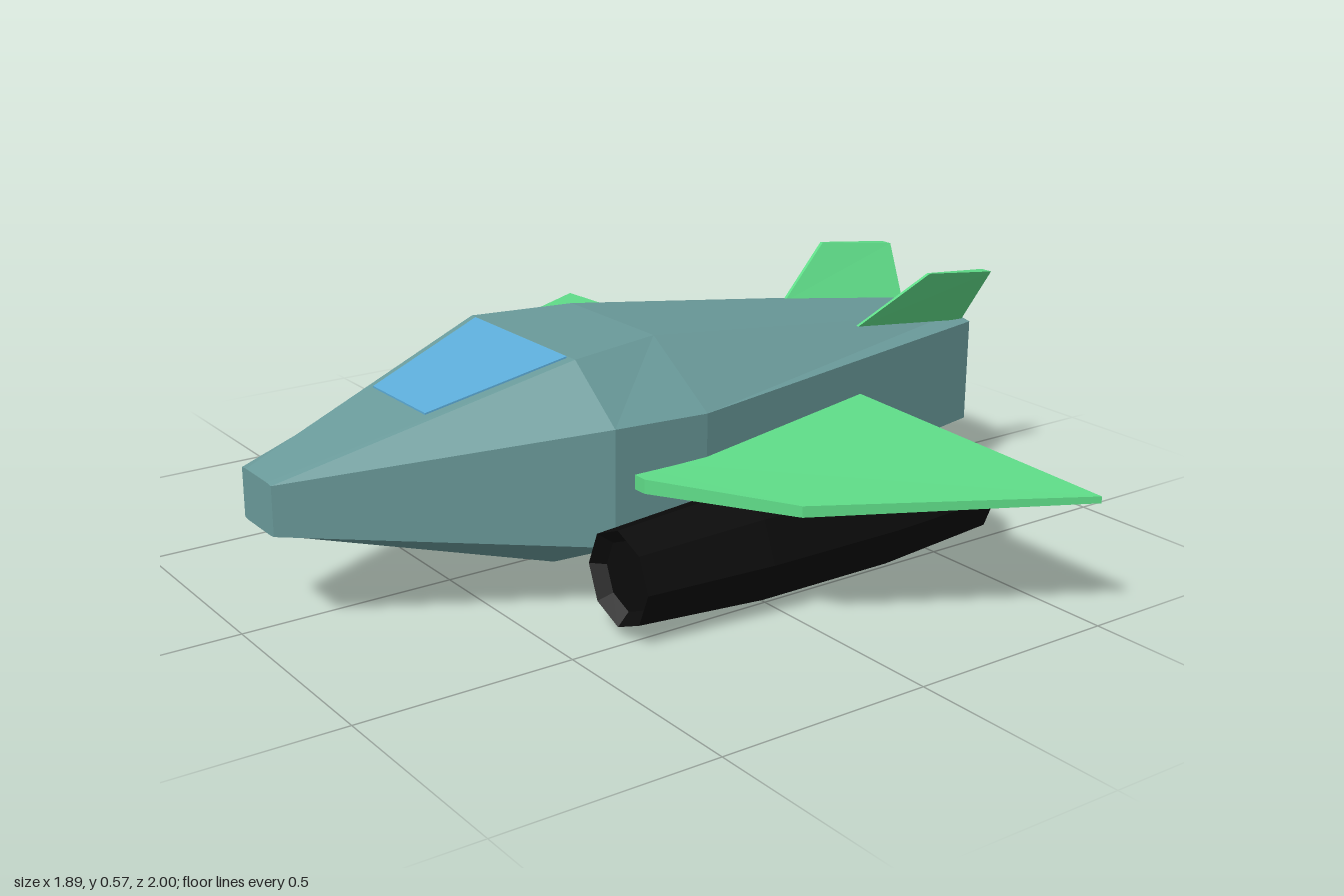
import * as THREE from 'three';

const mat = (name, color) => {
  const m = new THREE.MeshStandardMaterial({ color });
  m.name = name;
  return m;
};

// Faceted loft through rings of [x, y, z], closed at both ends.
// Rings run counter-clockwise about the loft direction; side = -1 mirrors in z.
function loft(rings, side = 1) {
  const pos = [];
  const tri = (a, b, c) => {
    for (const p of side > 0 ? [a, b, c] : [a, c, b]) pos.push(p[0], p[1], p[2] * side);
  };
  const n = rings[0].length;
  for (let i = 0; i < rings.length - 1; i++) {
    const a = rings[i], b = rings[i + 1];
    for (let k = 0; k < n; k++) {
      const m = (k + 1) % n;
      tri(a[k], a[m], b[k]);
      tri(a[m], b[m], b[k]);
    }
  }
  const first = rings[0], last = rings[rings.length - 1];
  for (let k = 1; k < n - 1; k++) {
    tri(first[0], first[k + 1], first[k]);
    tri(last[0], last[k], last[k + 1]);
  }
  const g = new THREE.BufferGeometry();
  g.setAttribute('position', new THREE.Float32BufferAttribute(pos, 3));
  g.computeVertexNormals();
  return g;
}

export function createModel() {
  const model = new THREE.Group();
  const hullMat = mat('hull teal', 0x6a9a9a);
  const finMat = mat('wing green', 0x5fdc88);
  const glassMat = mat('canopy blue', 0x5cacd8);
  const engineMat = mat('engine black', 0x0b0b0b);

  const add = (name, geometry, material) => {
    const mesh = new THREE.Mesh(geometry, material);
    mesh.name = name;
    model.add(mesh);
    return mesh;
  };

  // Hull: eight-sided sections from nose (-x) to tail (+x)
  // x, roof y, roof half width, shoulder y, half width, chine y, keel y, keel half width
  const sections = [
    [-0.945, 0.345, 0.05, 0.343, 0.07, 0.232, 0.23, 0.05],
    [-0.3, 0.535, 0.215, 0.42, 0.365, 0.155, 0.04, 0.12],
    [-0.06, 0.538, 0.165, 0.41, 0.365, 0.155, 0.037, 0.12],
    [0.92, 0.418, 0.095, 0.41, 0.155, 0.156, 0.154, 0.1],
    [0.945, 0.416, 0.05, 0.41, 0.065, 0.157, 0.155, 0.05],
  ];
  const hullRings = sections.map(([x, ry, rw, sy, w, cy, ky, kw]) => [
    [x, ry, -rw], [x, ry, rw], [x, sy, w], [x, cy, w],
    [x, ky, kw], [x, ky, -kw], [x, cy, -w], [x, sy, -w],
  ]);
  add('hull', loft(hullRings), hullMat);

  // Canopy: thin plate lying on the sloping nose deck
  const pane = (dy) => [
    [-0.61, 0.4437 + dy, -0.115], [-0.61, 0.4437 + dy, 0.115],
    [-0.305, 0.5335 + dy, 0.19], [-0.305, 0.5335 + dy, -0.19],
  ];
  add('canopy', loft([pane(-0.004), pane(0.004)]), glassMat);

  // Wing corners: x, z, lower y, upper y
  const wing = [
    [-0.25, 0.25, 0.275, 0.312], [-0.25, 0.4, 0.278, 0.31],
    [-0.07, 0.7, 0.28, 0.305], [0.48, 1, 0.285, 0.3], [0.48, 0.25, 0.25, 0.325],
  ];
  const wingRings = [2, 3].map((j) => wing.map((p) => [p[0], p[j], p[1]]));

  // Tail fin corners: x, y, inner z, outer z
  const fin = [
    [0.56, 0.452, 0.136, 0.144], [0.915, 0.41, 0.085, 0.13],
    [0.94, 0.545, 0.168, 0.2], [0.73, 0.57, 0.194, 0.203],
  ];
  const finRings = [2, 3].map((j) => fin.map((p) => [p[0], p[1], p[j]]));

  // Engine pod: eight-sided barrel with shallow recesses at both ends
  const podProfile = [
    [0, -0.335], [0.08, -0.335], [0.108, -0.362], [0.13, -0.05],
    [0.13, 0.3], [0.108, 0.617], [0.08, 0.59], [0, 0.59],
  ].map(([r, x]) => new THREE.Vector2(r, x));

  for (const side of [1, -1]) {
    const tag = side > 0 ? 'left' : 'right';
    add(tag + 'Wing', loft(wingRings, side), finMat);
    add(tag + 'TailFin', loft(finRings, side), finMat);
    const pod = new THREE.LatheGeometry(podProfile, 8).rotateZ(-Math.PI / 2).toNonIndexed();
    pod.computeVertexNormals();
    add(tag + 'Engine', pod, engineMat).position.set(0, 0.133, side * 0.463);
  }
  return model;
}
